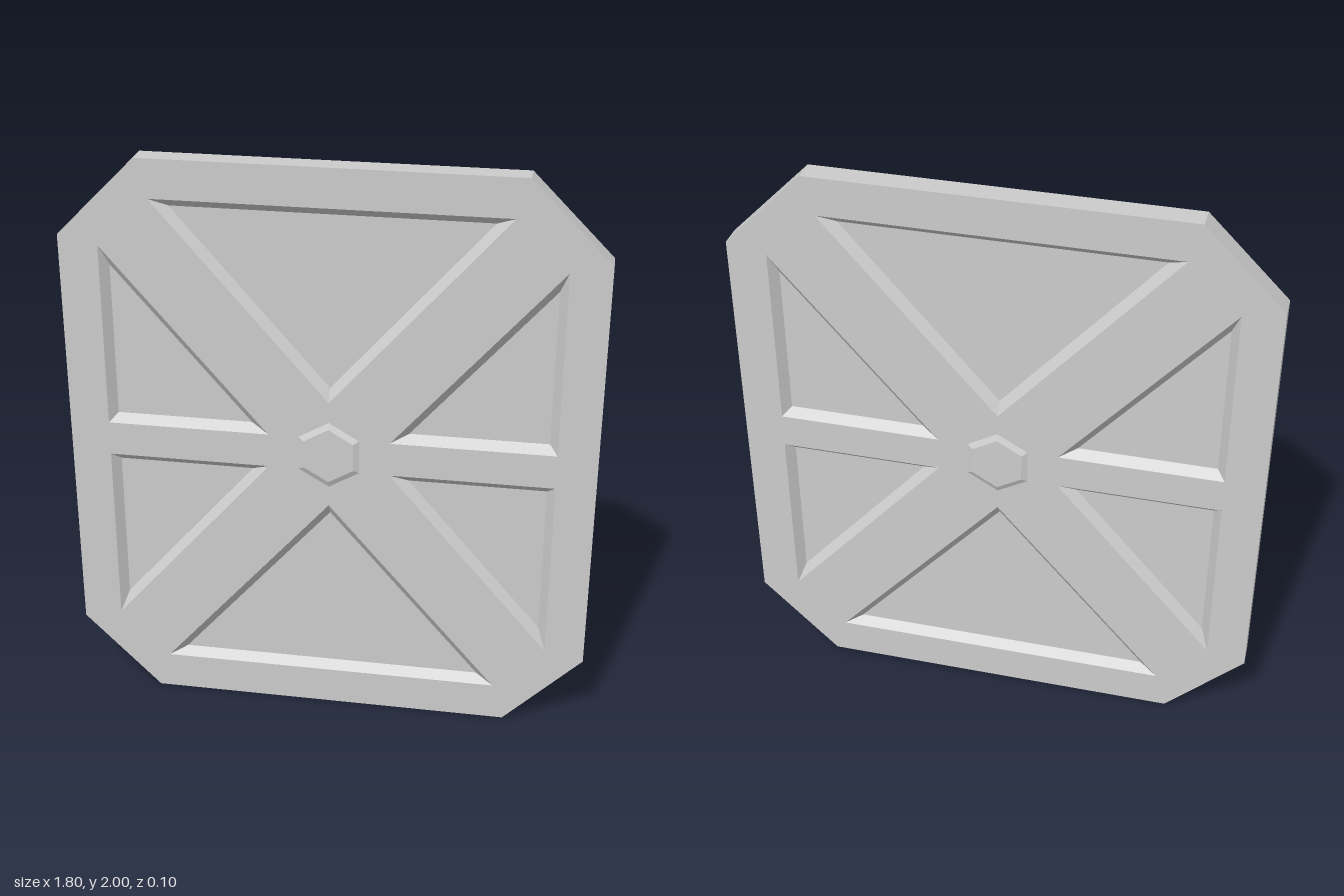
import * as THREE from 'three';

const HALF = 0.04;      // half thickness of the panel
const BEVEL = 0.028;    // width of the sloped pocket walls
const DEPTH = 0.03;     // depth of the pockets
const material = new THREE.MeshStandardMaterial({ color: 0xcccccc, flatShading: true });

// Joins two counter-clockwise loops at different z, optionally closing the second one
function loft(name, a, za, b, zb, cap) {
  const pos = [];
  const n = a.length;
  const put = (p, z) => pos.push(p.x, p.y, z);
  for (let i = 0; i < n; i++) {
    const j = (i + 1) % n;
    put(a[i], za); put(a[j], za); put(b[j], zb);
    put(a[i], za); put(b[j], zb); put(b[i], zb);
  }
  if (cap) for (let i = 1; i < n - 1; i++) { put(b[0], zb); put(b[i], zb); put(b[i + 1], zb); }
  const geo = new THREE.BufferGeometry();
  geo.setAttribute('position', new THREE.Float32BufferAttribute(pos, 3));
  geo.computeVertexNormals();
  const mesh = new THREE.Mesh(geo, material);
  mesh.name = name;
  return mesh;
}

const loop = (pts) => {
  const v = pts.map(([x, y]) => new THREE.Vector2(x, y));
  return THREE.ShapeUtils.isClockWise(v) ? v.reverse() : v;
};

// Shrinks a triangle so every edge moves inward by the same distance
function insetTriangle(tri, w) {
  const [A, B, C] = tri;
  const a = B.distanceTo(C), b = C.distanceTo(A), c = A.distanceTo(B), p = a + b + c;
  const centre = new THREE.Vector2((a * A.x + b * B.x + c * C.x) / p, (a * A.y + b * B.y + c * C.y) / p);
  const inradius = 2 * THREE.ShapeUtils.area(tri) / p;
  return tri.map((q) => q.clone().lerp(centre, w / inradius));
}

const hexagon = (r) => loop(Array.from({ length: 6 }, (_, i) => {
  const t = Math.PI / 6 + i * Math.PI / 3;
  return [r * Math.cos(t), r * Math.sin(t)];
}));

export function createModel() {
  const model = new THREE.Group();
  model.name = 'panel';

  const outline = loop([[-0.63, -1], [0.63, -1], [0.9, -0.73], [0.9, 0.73],
    [0.63, 1], [-0.63, 1], [-0.9, 0.73], [-0.9, -0.73]]);

  // Triangular pockets: one above and below, two on each side
  const pockets = [];
  for (const sy of [1, -1]) {
    pockets.push(loop([[-0.59, 0.867 * sy], [0.59, 0.867 * sy], [0, 0.193 * sy]]));
    for (const sx of [1, -1]) {
      pockets.push(loop([[0.765 * sx, 0.7 * sy], [0.765 * sx, 0.06 * sy], [0.207 * sx, 0.06 * sy]]));
    }
  }

  // Outer edge band
  model.add(loft('outerRim', outline, -HALF, outline, HALF, false));

  // Identical front and back sides
  for (const [name, turn] of [['frontSide', 0], ['backSide', Math.PI]]) {
    const side = new THREE.Group();
    side.name = name;
    const shape = new THREE.Shape(outline);
    shape.holes = pockets.map((p) => new THREE.Path(p));
    const face = new THREE.Mesh(new THREE.ShapeGeometry(shape), material);
    face.name = 'ribFace';
    face.position.z = HALF;
    side.add(face);
    for (const p of pockets) {
      side.add(loft('pocket', p, HALF, insetTriangle(p, BEVEL), HALF - DEPTH, true));
    }
    // Bevelled centre boss
    side.add(loft('centreBoss', hexagon(0.12), HALF, hexagon(0.098), 0.05, true));
    side.rotation.y = turn;
    model.add(side);
  }

  model.children.forEach((part) => { part.position.y = 1; });
  return model;
}
